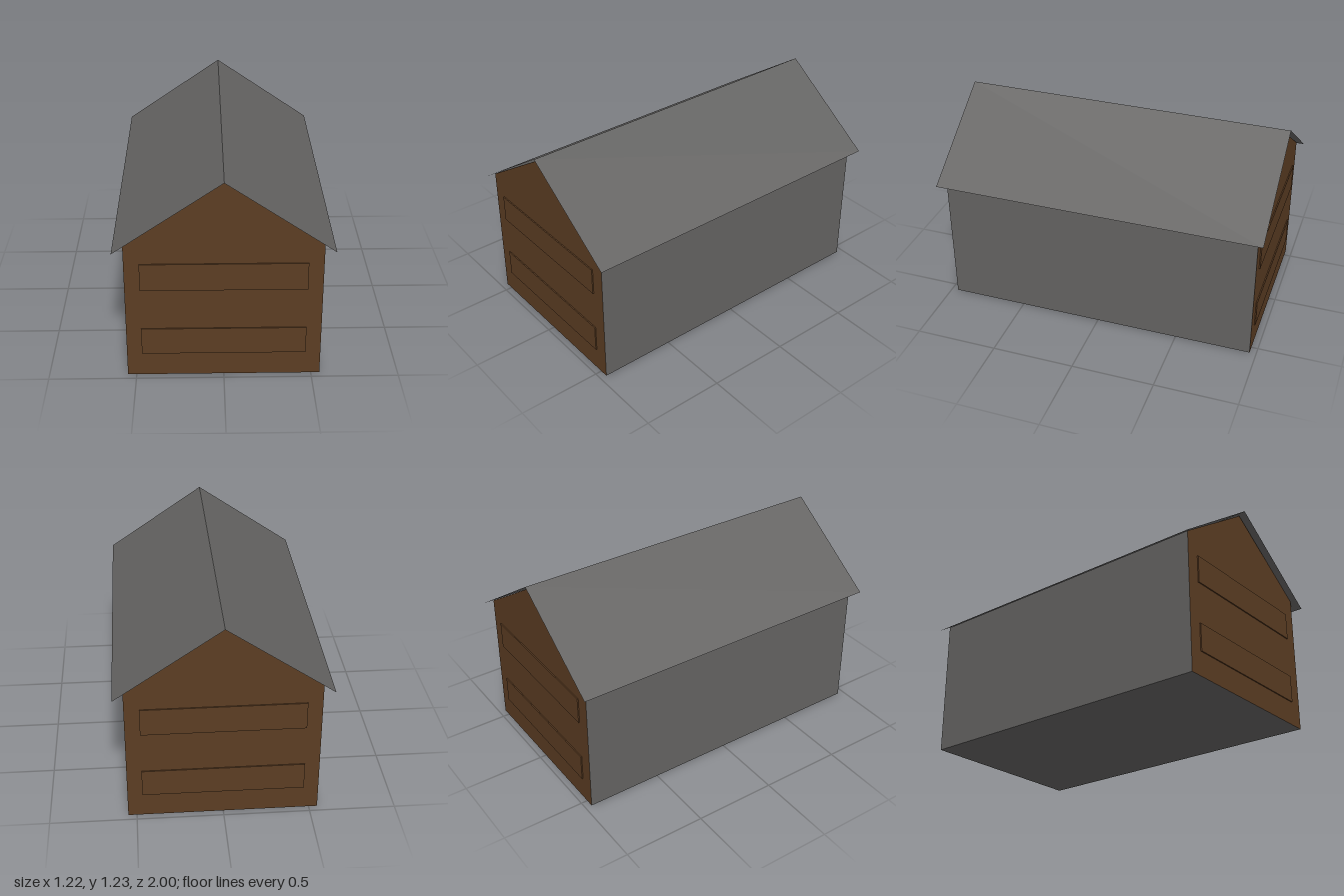
import * as THREE from 'three';

export function createModel() {
  const house = new THREE.Group();
  house.name = 'gabledHouse';

  const wood = new THREE.MeshStandardMaterial({ color: 0x5c3d23 });
  wood.name = 'brown wood';
  const grey = new THREE.MeshStandardMaterial({ color: 0x646362, side: THREE.DoubleSide });
  grey.name = 'grey';

  const add = (name, geometry, material) => {
    const mesh = new THREE.Mesh(geometry, material);
    mesh.name = name;
    house.add(mesh);
    return mesh;
  };

  // Body: gable outline run front to back, wooden ends and grey sides
  const halfDepth = 0.96;
  const outline = new THREE.Shape([
    [-0.55, 0], [0.55, 0], [0.55, 0.847], [0, 1.21], [-0.55, 0.847],
  ].map(([x, y]) => new THREE.Vector2(x, y)));
  const body = new THREE.ExtrudeGeometry(outline, { depth: 2 * halfDepth, bevelEnabled: false });
  body.translate(0, 0, -halfDepth);
  add('body', body, [wood, grey]);

  // Roof: two thin sheets that meet at the ridge and overhang all round
  const ridgeY = 1.227, eaveX = 0.61, eaveY = 0.81;
  for (const [name, side] of [['roofLeft', 1], ['roofRight', -1]]) {
    const sheet = new THREE.PlaneGeometry(Math.hypot(eaveX, ridgeY - eaveY), 2);
    sheet.rotateX(-Math.PI / 2);
    sheet.rotateZ(-side * Math.atan2(ridgeY - eaveY, eaveX));
    sheet.translate(side * eaveX / 2, (ridgeY + eaveY) / 2, 0);
    add(name, sheet, grey);
  }

  // Raised boards: two across each gable end
  for (const [end, side] of [['front', 1], ['back', -1]]) {
    for (const [level, y] of [['Lower', 0.228], ['Upper', 0.642]]) {
      const board = add(`${end}${level}Board`, new THREE.BoxGeometry(0.93, 0.165, 0.008), wood);
      board.position.set(0, y, side * (halfDepth + 0.003));
    }
  }

  return house;
}
